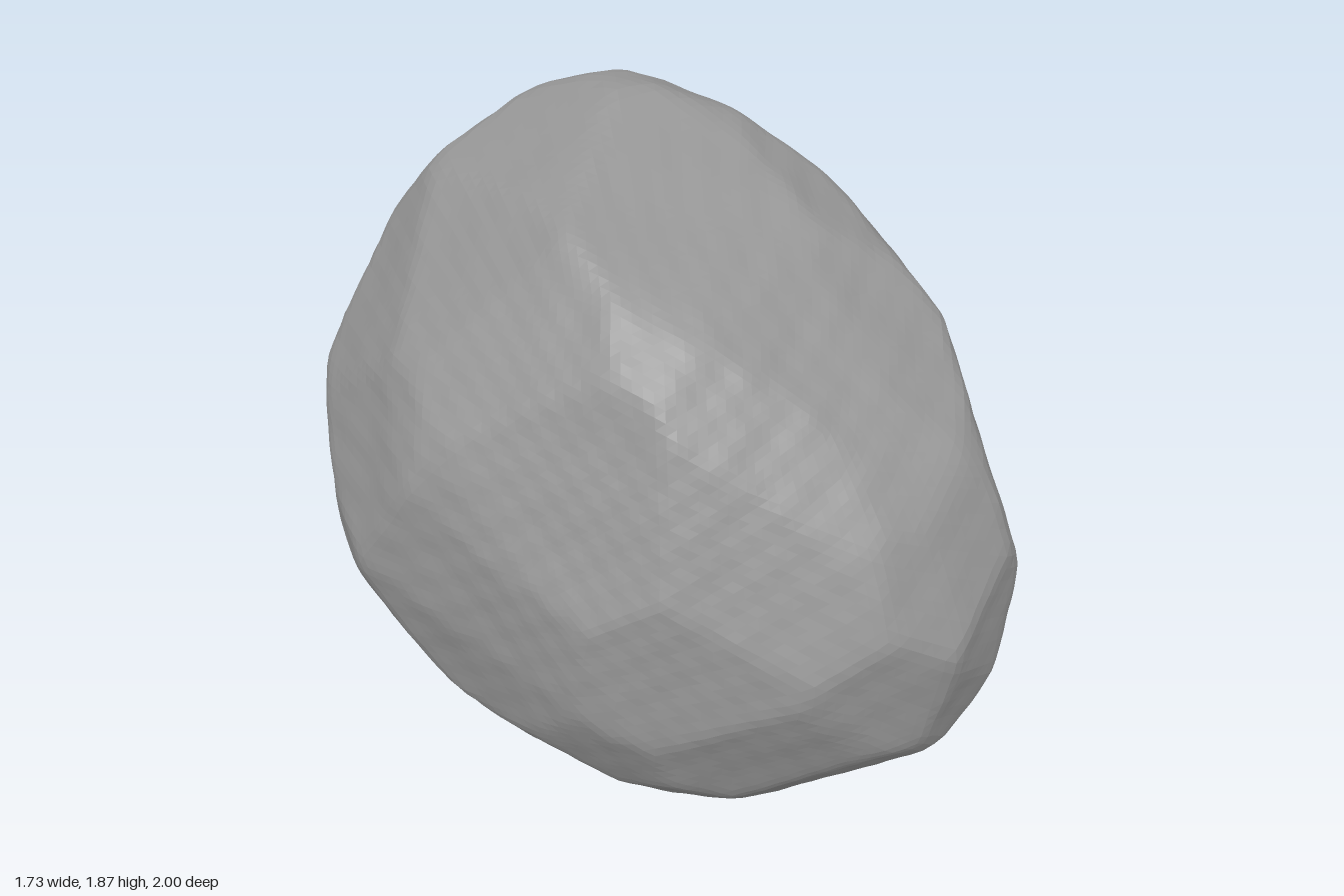
import * as THREE from 'three';
import { mergeVertices } from 'three/addons/utils/BufferGeometryUtils.js';

const MID = 0.935; // height of the boulder's centre
const RAD = Math.PI / 180;

// Rings of facets: azimuth and elevation of the ring's axis, then the distance
// of each facet from the centre, sixteen equal steps around the axis
const RINGS = [
  [0, 0, [.86, .84, .88, .93, .935, .845, .78, .795, .87, .88, .895, .925, .935, 1.015, 1.005, .92]],
  [90, 0, [1, 1.055, 1.11, 1.055, .935, .73, .745, .86, 1, 1.1, 1.08, 1.03, .93, .945, 1, 1.02]],
  [0, 90, [.86, .9, .975, 1, 1, 1.01, 1.03, .94, .87, .725, .775, .88, 1, 1, .99, .92]],
  [45, 30, [.97, .945, 1.04, 1.085, 1.025, .87, .73, .685, .75, .86, .975, 1.035, 1.1, 1.075, 1.02, .965]],
  [225, 30, [.75, .73, .735, .725, .795, .895, .935, .915, .97, .97, 1.015, 1.02, .94, .93, .885, .83]],
  [135, -27, [1.04, 1.015, 1.04, 1.095, 1.055, .95, .83, .84, .99, 1.085, 1.13, 1.065, .98, .93, .955, .985]],
];

// Every facet is a plane: unit normal n at distance h from the centre
function makeFacets() {
  const facets = [];
  for (const [azimuth, elevation, distances] of RINGS) {
    const a = azimuth * RAD, e = elevation * RAD;
    const across = new THREE.Vector3(Math.cos(a), 0, -Math.sin(a));
    const up = new THREE.Vector3(-Math.sin(a) * Math.sin(e), Math.cos(e), -Math.cos(a) * Math.sin(e));
    distances.forEach((h, i) => {
      const t = i * Math.PI / 8;
      const n = across.clone().multiplyScalar(Math.cos(t)).addScaledVector(up, Math.sin(t));
      facets.push({ n, h });
    });
  }

  // Fill the gaps with evenly spread facets, blended from their neighbours
  const ellipsoid = (n) => Math.hypot(0.865 * n.x, MID * n.y, n.z);
  const known = facets.slice();
  const count = 110;
  for (let i = 0; i < count; i++) {
    const y = 1 - (2 * i + 1) / count, r = Math.sqrt(1 - y * y), t = i * 2.39996;
    const n = new THREE.Vector3(r * Math.cos(t), y, r * Math.sin(t));
    let sum = 0, total = 0;
    for (const k of known) {
      const w = 1 / (n.distanceToSquared(k.n) ** 2 + 1e-4);
      sum += w * (k.h - ellipsoid(k.n));
      total += w;
    }
    facets.push({ n, h: ellipsoid(n) + sum / total + 0.01 });
  }
  return facets;
}

// Small, uneven dents of the stone surface
function roughness({ x, y, z }) {
  return 0.003 * Math.sin(9 * x + 4 * y + 2) * Math.sin(8 * y - 5 * z) +
    0.002 * Math.sin(17 * z + 6 * x) * Math.sin(15 * x - 9 * y + 1) +
    0.0015 * Math.sin(37 * x + 21 * z) * Math.sin(41 * y + 13 * x);
}

function boulderGeometry() {
  const facets = makeFacets();
  const reach = (d) => {
    let r = Infinity;
    for (const { n, h } of facets) {
      const dot = n.dot(d);
      if (dot > 0.1) r = Math.min(r, h / dot);
    }
    return r;
  };
  let geometry = new THREE.IcosahedronGeometry(1, 32);
  geometry.deleteAttribute('normal');
  geometry.deleteAttribute('uv');
  geometry = mergeVertices(geometry, 1e-5);

  // Push each point out to the facets, averaging nearby rays to wear the edges
  const pos = geometry.attributes.position;
  const d = new THREE.Vector3(), ray = new THREE.Vector3();
  const offsets = [[1, 0, 0], [-1, 0, 0], [0, 1, 0], [0, -1, 0], [0, 0, 1], [0, 0, -1]];
  for (let i = 0; i < pos.count; i++) {
    d.fromBufferAttribute(pos, i).normalize();
    let r = reach(d);
    for (const [x, y, z] of offsets) {
      r += reach(ray.set(d.x + 0.04 * x, d.y + 0.04 * y, d.z + 0.04 * z).normalize());
    }
    d.multiplyScalar(r / 7 + roughness(d));
    pos.setXYZ(i, d.x, d.y, d.z);
  }

  // Stand it on the ground
  geometry.computeBoundingBox();
  geometry.translate(0, -geometry.boundingBox.min.y, 0);
  geometry.computeVertexNormals();
  return geometry;
}

export function createModel() {
  const group = new THREE.Group();
  group.name = 'rock';
  const material = new THREE.MeshStandardMaterial({ color: 0x969696, flatShading: true });
  const boulder = new THREE.Mesh(boulderGeometry(), material);
  boulder.name = 'boulder';
  group.add(boulder);
  return group;
}
